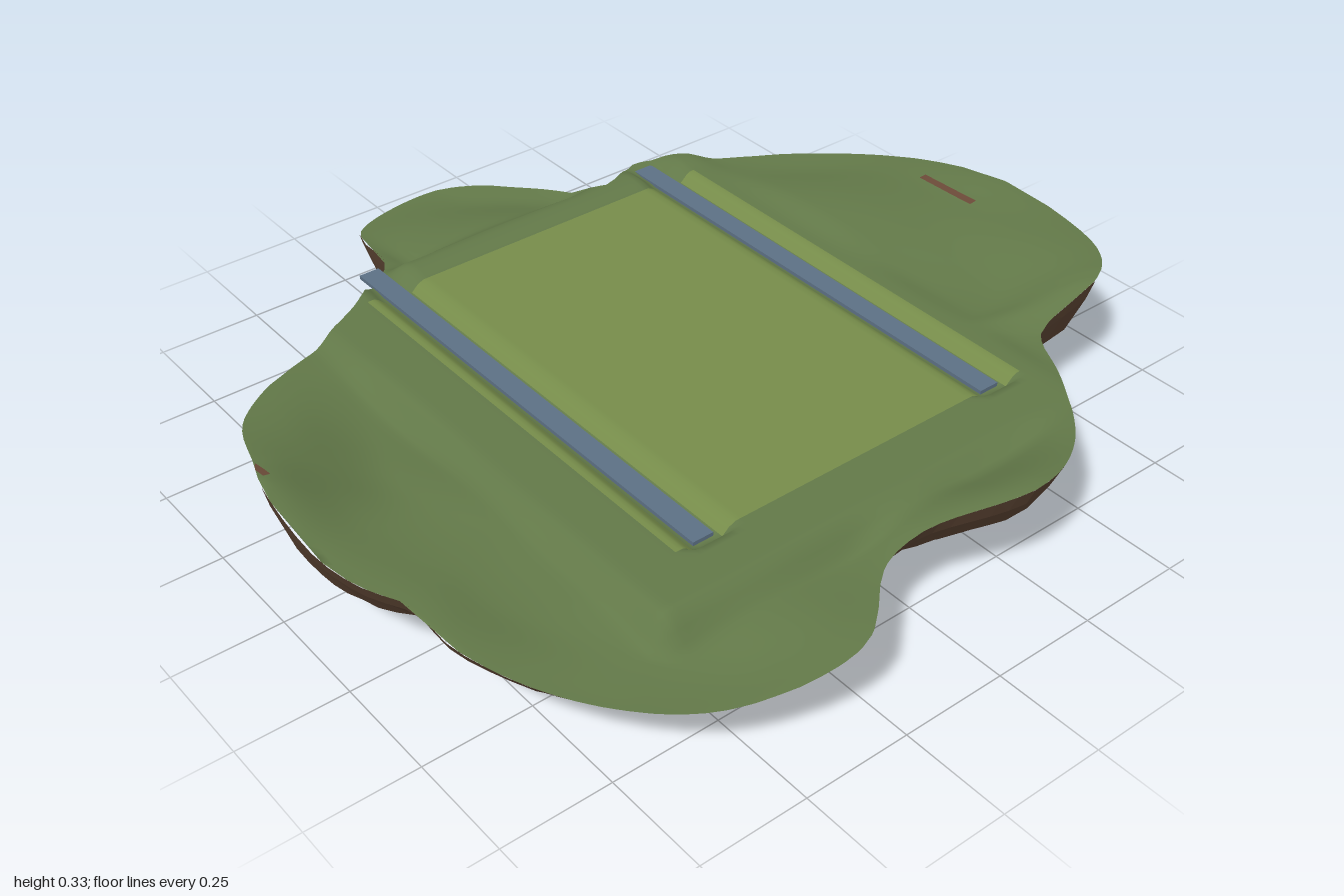
import * as THREE from 'three';

const mat = (name, color) => {
  const m = new THREE.MeshStandardMaterial({ color });
  m.name = name;
  return m;
};
const { smoothstep, lerp, clamp } = THREE.MathUtils;
const TAU = Math.PI * 2, N = 150;

// Rim of the island: x, z and height of the turf edge
const rimPoints = [
  [0, -1, .29], [.2, -.98, .3], [.4, -.91, .31], [.47, -.82, .31], [.48, -.64, .25], [.6, -.56, .25],
  [.8, -.39, .265], [.88, -.2, .29], [.8, .03, .25], [.8, .13, .22], [.94, .32, .22], [.87, .6, .18],
  [.7, .8, .2], [.5, .91, .24], [.36, .915, .25], [.27, .96, .255], [.15, .99, .27], [0, 1, .33],
  [-.12, .96, .31], [-.3, .89, .265], [-.4, .78, .25], [-.5, .55, .235], [-.58, .42, .235], [-.7, .3, .22],
  [-.88, .26, .2], [-.95, .02, .19], [-.9, -.07, .2], [-.75, -.2, .21], [-.6, -.26, .245], [-.66, -.41, .25],
  [-.55, -.58, .25], [-.4, -.78, .26], [-.2, -.95, .27],
].map(([x, z, y]) => new THREE.Vector3(x, y, z));

// Resample the rim at equal angles around the centre
const angleOf = (x, z) => (Math.atan2(z, x) + TAU) % TAU;
function resampleRim() {
  const pts = new THREE.CatmullRomCurve3(rimPoints, true).getPoints(1500)
    .map(p => ({ a: angleOf(p.x, p.z), r: Math.hypot(p.x, p.z), y: p.y }))
    .sort((p, q) => p.a - q.a);
  return Array.from({ length: N }, (_, k) => {
    const a = k / N * TAU, p = pts.find(q => q.a >= a) || pts[0];
    return { x: Math.cos(a) * p.r, z: Math.sin(a) * p.r, r: p.r, y: p.y };
  });
}
const rim = resampleRim();

const RIVERS = [-.41, .37];

// Height of the turf: raised rectangular terrace, river channels, rolling rim
function height(x, z) {
  const f = angleOf(x, z) / TAU * N, k = Math.floor(f) % N, p = rim[k], q = rim[(k + 1) % N];
  const t = Math.hypot(x, z) / lerp(p.r, q.r, f - Math.floor(f));
  const edge = lerp(p.y, q.y, f - Math.floor(f));
  const low = z < -.5 ? .268 - .02 * smoothstep(x, 0, .4) : lerp(.225, .2, smoothstep(x, .5, .9));
  const swell = .012 * Math.sin(x * 9 + z * 5) * Math.sin(z * 8 - x * 3) * (1 - smoothstep(t, .85, 1));
  const outside = lerp(low, edge, smoothstep(t, .72, 1)) + swell;
  const dx = Math.max(-.6 - x, x - .67, 0), dz = Math.max(-.51 - z, z - .56, 0);
  let terrace = .258 + .008 * (1 - smoothstep(x, -.58, -.53));
  for (const c of RIVERS) {
    const d = Math.abs(z - c);
    if (x < .57) terrace -= .026 * (1 - smoothstep(d, .025, .065));
  }
  return lerp(terrace, outside, smoothstep(Math.hypot(dx, dz), 0, .07));
}

// Left and right ends of the island along one row
function span(z) {
  const xs = [];
  rim.forEach((p, k) => {
    const q = rim[(k + 1) % N];
    if ((p.z - z) * (q.z - z) <= 0 && p.z !== q.z) xs.push(lerp(p.x, q.x, (z - p.z) / (q.z - p.z)));
  });
  return [Math.min(...xs), Math.max(...xs)];
}

// Piece of ground over a rectangle, trimmed to the rim, following the height rule
function ground(name, material, x0, x1, z0, z1, lift = 0, step = .016) {
  const nx = Math.ceil((x1 - x0) / step), nz = Math.ceil((z1 - z0) / step);
  const pos = [], index = [];
  for (let j = 0; j <= nz; j++) {
    const z = lerp(z0, z1, j / nz), [lo, hi] = span(z);
    for (let i = 0; i <= nx; i++) {
      const x = clamp(lerp(x0, x1, i / nx), lo, hi);
      pos.push(x, height(x, z) + lift, z);
      if (i < nx && j < nz) {
        const a = j * (nx + 1) + i, b = a + nx + 1;
        index.push(a, b, a + 1, a + 1, b, b + 1);
      }
    }
  }
  const g = new THREE.BufferGeometry();
  g.setAttribute('position', new THREE.Float32BufferAttribute(pos, 3));
  g.setIndex(index);
  g.computeVertexNormals();
  const m = new THREE.Mesh(g, material);
  m.name = name;
  return m;
}

// Faceted earth: rings shrinking from the rim to the lowest point
function earth(material) {
  let seed = 7;
  const rand = () => (seed = (seed * 16807) % 2147483647) / 2147483647 - .5;
  const rings = [[1, 1], [.985, .72], [.95, .3], [.88, 0], [.74, 0], [.58, 0], [.42, 0], [.26, 0], [.12, 0], [0, 0]];
  const pos = [], index = [];
  rings.forEach(([s, w], j) => {
    for (let k = 0; k < N; k++) {
      const p = rim[k], shift = 1 - s;
      const x = p.x * s - .2 * shift, z = p.z * s + .06 * shift;
      const bump = s > 0 && s < .98 ? .012 * Math.sin(k * .42 + j * 1.3) * s + .012 * rand() * s : 0;
      const floor = .128 * Math.pow(s, 1.5) + .025 * s * clamp(x, -.6, .5) + bump;
      pos.push(x, Math.max(0, j === 0 ? height(p.x, p.z) : lerp(floor, p.y, w)), z);
      if (j < rings.length - 1) {
        const a = j * N + k, b = j * N + (k + 1) % N;
        index.push(a, b, a + N, b, b + N, a + N);
      }
    }
  });
  let g = new THREE.BufferGeometry();
  g.setAttribute('position', new THREE.Float32BufferAttribute(pos, 3));
  g.setIndex(index);
  g = g.toNonIndexed();
  g.computeVertexNormals();
  const m = new THREE.Mesh(g, material);
  m.name = 'earthUnderside';
  return m;
}

export function createModel() {
  const grass = mat('grass', 0x627848), field = mat('field', 0x768c4a);
  const water = mat('water', 0x5c7084), soil = mat('soil', 0x574030), clay = mat('clay', 0x6b4a38);
  const island = new THREE.Group();
  island.name = 'floatingIsland';

  const zs = rim.map(p => p.z);
  island.add(
    earth(soil),
    ground('grassTop', grass, -.96, .96, Math.min(...zs) + 1e-4, Math.max(...zs) - 1e-4),
    // Meadow between the rivers and its banks beyond them
    ground('meadow', field, -.53, .56, -.375, .335, .003),
    ground('northBank', field, -.53, .56, -.485, -.445, .003, .01),
    ground('southBank', field, -.53, .56, .405, .45, .003, .01),
    // Bare patches in the turf
    ground('northBarePatch', clay, -.14, .03, -.895, -.875, .003, .01),
    ground('southBarePatch', clay, -.11, -.05, .96, .975, .003, .01),
  );

  // Straight rivers running off the west edge
  for (const z of RIVERS) {
    const river = new THREE.Mesh(new THREE.BoxGeometry(1.2, .009, .05), water);
    river.position.set(-.055, .241, z);
    river.name = z < 0 ? 'northRiver' : 'southRiver';
    island.add(river);
  }
  return island;
}
